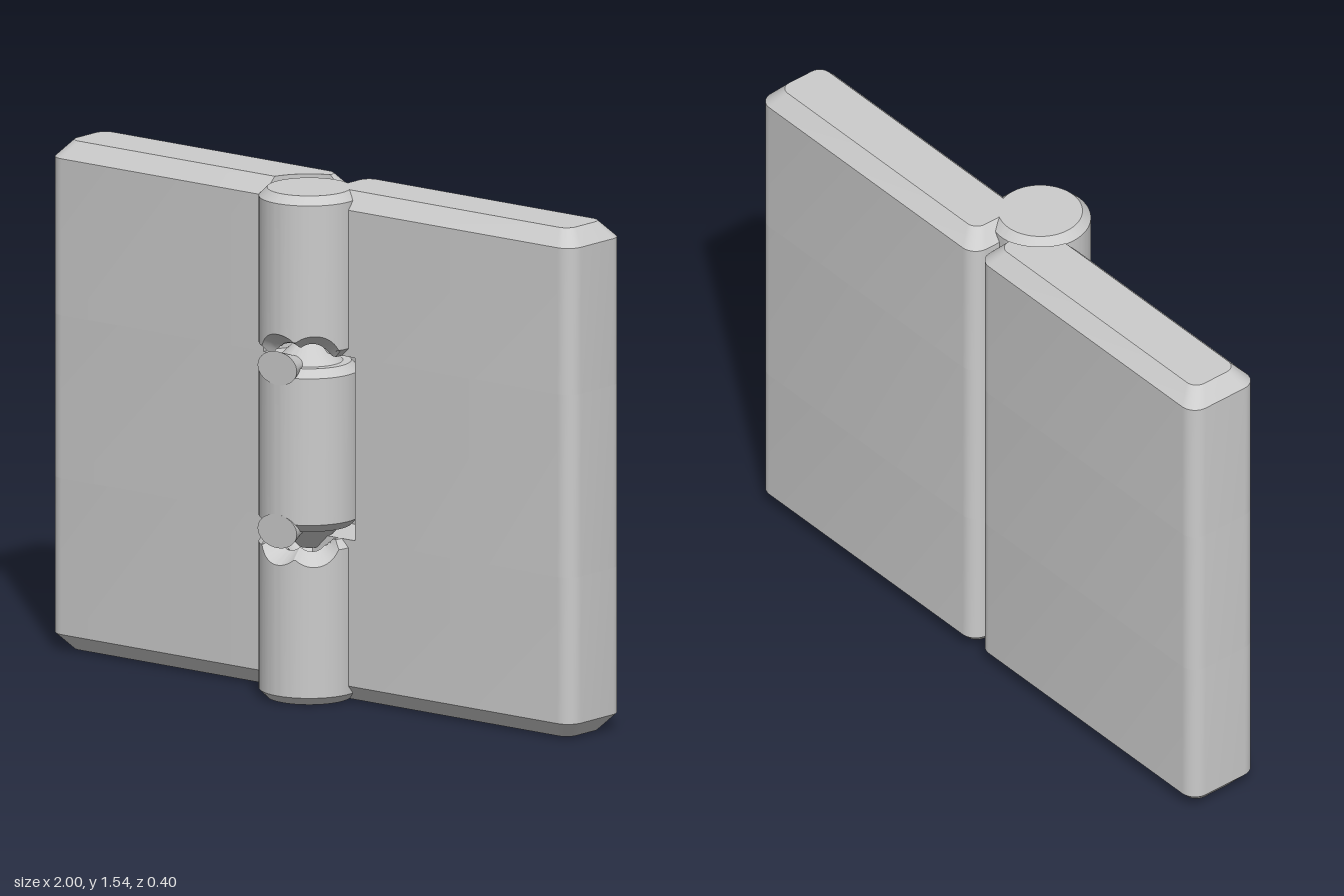
import * as THREE from 'three';
import { toCreasedNormals } from 'three/addons/utils/BufferGeometryUtils.js';

const HEIGHT = 1.545, AXIS_Z = 0.05, KNUCKLE_R = 0.15, CLEAR_R = 0.175;
const material = new THREE.MeshStandardMaterial({ color: 0xcccccc });

// Skin closed rings (counter-clockwise seen from above) from bottom to top
function loft(rings, capped) {
  const n = rings[0].length, pos = [], index = [];
  rings.forEach(ring => ring.forEach(p => pos.push(p.x, p.y, p.z)));
  for (let k = 0; k < rings.length - 1; k++) {
    for (let i = 0; i < n; i++) {
      const j = (i + 1) % n;
      const a = k * n + i, b = k * n + j, c = b + n, d = a + n;
      index.push(a, b, c, a, c, d);
    }
  }
  if (capped) {
    const last = (rings.length - 1) * n;
    const flat = ring => ring.map(p => new THREE.Vector2(p.x, -p.z));
    THREE.ShapeUtils.triangulateShape(flat(rings[0]), [])
      .forEach(f => index.push(f[2], f[1], f[0]));
    THREE.ShapeUtils.triangulateShape(flat(rings[rings.length - 1]), [])
      .forEach(f => index.push(last + f[0], last + f[1], last + f[2]));
  }
  const geometry = new THREE.BufferGeometry();
  geometry.setAttribute('position', new THREE.Float32BufferAttribute(pos, 3));
  geometry.setIndex(index);
  return toCreasedNormals(geometry, 0.45);
}

function addMesh(parent, name, geometry) {
  const mesh = new THREE.Mesh(geometry, material);
  mesh.name = name;
  parent.add(mesh);
  return mesh;
}

// Horizontal outline of a leaf, inset by d, optionally hollowed round the barrel
function leafRing(side, y, d, hollow) {
  const x0 = 0.01 + d, x1 = 1 - d, z0 = -0.2 + d, z1 = 0.05 - d;
  const c = d > 0 ? 0.036 : 0.05;
  const pts = [];
  const arc = (cx, cz, r, from, to, steps) => {
    for (let i = 0; i <= steps; i++) {
      const t = from + (to - from) * i / steps;
      pts.push([cx + r * Math.cos(t), cz + r * Math.sin(t)]);
    }
  };
  const h = Math.PI / 2;
  arc(x0 + c, z0 + c, c, 2 * h, 3 * h, 8);
  arc(x1 - c, z0 + c, c, 3 * h, 4 * h, 8);
  arc(x1 - c, z1 - c, c, 0, h, 8);
  if (hollow) arc(0, AXIS_Z, CLEAR_R, -Math.asin(d / CLEAR_R), -Math.acos(x0 / CLEAR_R), 16);
  else pts.push([x0, z1]);
  if (side > 0) pts.reverse();
  return pts.map(([x, z]) => new THREE.Vector3(side * x, y, z));
}

// Leaf made of three stacked lengths; both ends are chamfered
function makeLeaf(name, side, cuts, hollows) {
  const leaf = new THREE.Group();
  leaf.name = name;
  const ys = [0, ...cuts, HEIGHT], bevel = 0.05, inset = 0.045;
  hollows.forEach((hollow, i) => {
    const rings = [];
    if (i === 0) rings.push(leafRing(side, 0, inset, hollow));
    rings.push(leafRing(side, i === 0 ? bevel : ys[i], 0, hollow));
    rings.push(leafRing(side, i === 2 ? HEIGHT - bevel : ys[i + 1], 0, hollow));
    if (i === 2) rings.push(leafRing(side, HEIGHT, inset, hollow));
    addMesh(leaf, `${name}Section${i + 1}`, loft(rings, true));
  });
  return leaf;
}

// End faces: depth measured into the knuckle at radius r and angle t
const chamfer = r => Math.max(0, r - 0.125);
const pinEnd = r => chamfer(r) - Math.max(0, Math.min(0.07, 0.1 - r));
function socketEnd(r, t) {
  let depth = Math.max(chamfer(r), Math.min(0.1, 0.11 - r));
  for (const centre of [0, Math.PI / 4]) {
    const u = (t - centre) / 0.58;
    if (Math.abs(u) < 1) {
      depth = Math.max(depth, 0.088 * (r / KNUCKLE_R) * Math.sqrt(1 - u * u) - 0.015);
    }
  }
  return depth;
}

function knuckleGeometry(y0, y1, bottomEnd, topEnd) {
  const radii = [0, 0.03, 0.06, 0.09, 0.1, 0.11, 0.125, KNUCKLE_R], segments = 120;
  const ring = (r, height) => Array.from({ length: segments }, (_, i) => {
    const t = (i / segments) * 2 * Math.PI - Math.PI;
    return new THREE.Vector3(r * Math.sin(t), height(r, t), AXIS_Z + r * Math.cos(t));
  });
  const bottom = radii.map(r => ring(r, (q, t) => y0 + bottomEnd(q, t)));
  const top = radii.map(r => ring(r, (q, t) => y1 - topEnd(q, t))).reverse();
  return loft([...bottom, ...top], false);
}

export function createModel() {
  const model = new THREE.Group();
  model.name = 'hinge';
  const lowGap = [0.495, 0.525], highGap = [HEIGHT - 0.525, HEIGHT - 0.495];

  // Leaves
  model.add(makeLeaf('rightLeaf', -1, [lowGap[1], highGap[0]], [true, false, true]));
  model.add(makeLeaf('leftLeaf', 1, [lowGap[0], highGap[1]], [false, true, false]));

  // Barrel
  addMesh(model, 'lowerKnuckle', knuckleGeometry(0, lowGap[0], chamfer, socketEnd));
  addMesh(model, 'middleKnuckle', knuckleGeometry(lowGap[1], highGap[0], pinEnd, pinEnd));
  addMesh(model, 'upperKnuckle', knuckleGeometry(highGap[1], HEIGHT, socketEnd, chamfer));

  // Conical detents that click into the pockets
  for (const y of [lowGap[1], highGap[0]]) {
    const cone = new THREE.CylinderGeometry(0.075, 0.004, 0.15, 40);
    cone.rotateX(Math.PI / 2);
    cone.scale(1, 0.68, 1);
    cone.translate(0, y, AXIS_Z + 0.075);
    addMesh(model, 'detent', toCreasedNormals(cone, 0.5));
  }
  return model;
}
